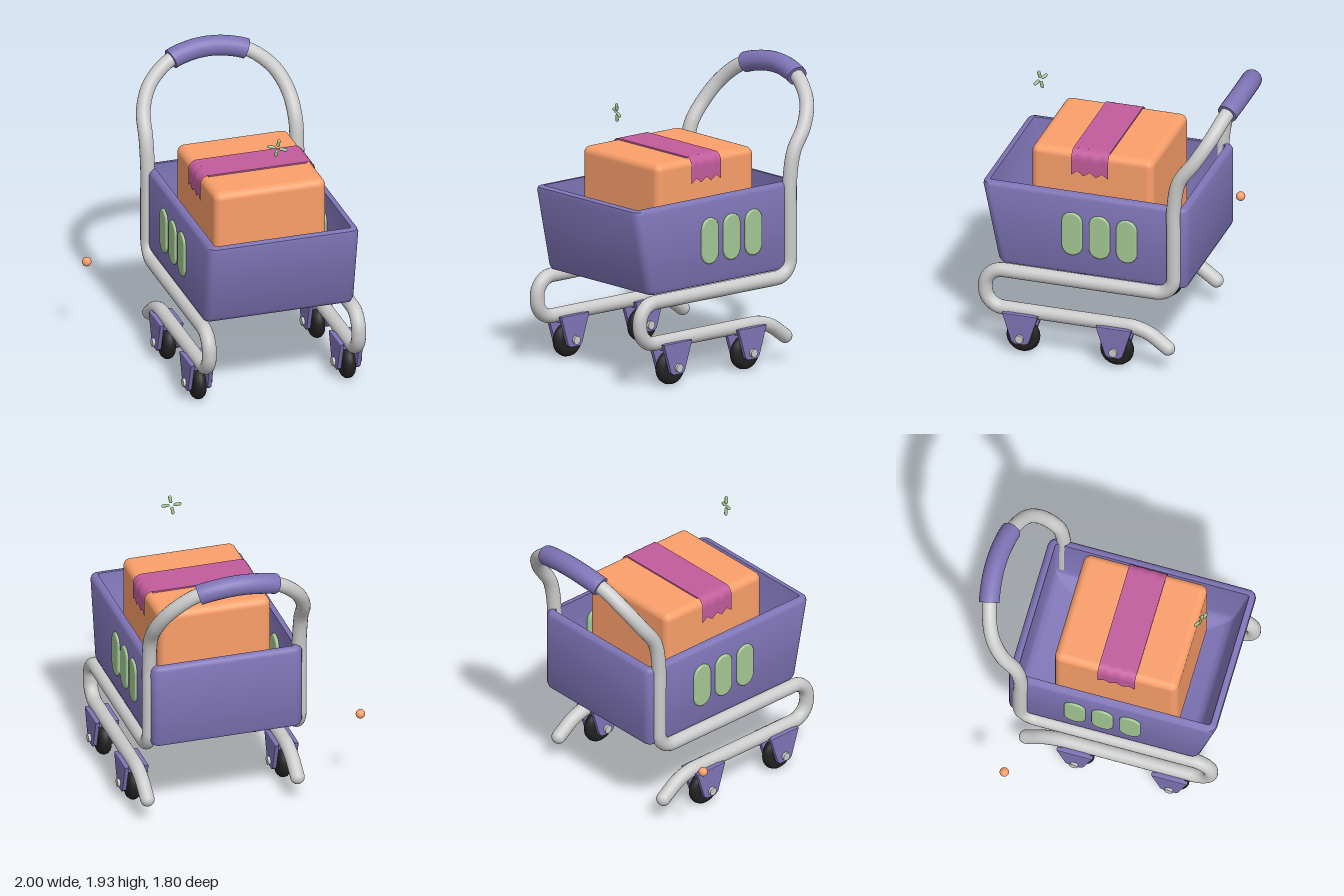
import * as THREE from 'three';
import { toCreasedNormals } from 'three/addons/utils/BufferGeometryUtils.js';
import { RoundedBoxGeometry } from 'three/addons/geometries/RoundedBoxGeometry.js';

const V = (x, y, z) => new THREE.Vector3(x, y, z);
const mat = (color, side = THREE.FrontSide) => new THREE.MeshStandardMaterial({ color, side });
const metal = mat(0xcccccc), purple = mat(0x7e74b6), orange = mat(0xfa9f6a);
const green = mat(0xa4c894), black = mat(0x222222), tapeMat = mat(0xc25c9c, THREE.DoubleSide);
const TUBE = 0.048, RAIL_Z = 0.515;

function add(parent, name, geometry, material, x = 0, y = 0, z = 0) {
  const m = new THREE.Mesh(geometry, material);
  m.name = name;
  m.position.set(x, y, z);
  parent.add(m);
  return m;
}

// Straight runs joined by rounded corners
function roundedPath(points, radii) {
  const path = new THREE.CurvePath();
  let from = points[0];
  for (let i = 1; i < points.length - 1; i++) {
    const p = points[i], r = radii[i - 1];
    const a = p.clone().add(points[i - 1].clone().sub(p).setLength(r));
    const b = p.clone().add(points[i + 1].clone().sub(p).setLength(r));
    path.add(new THREE.LineCurve3(from, a));
    // cubic with circular-arc handles
    path.add(new THREE.CubicBezierCurve3(a, a.clone().lerp(p, 0.55), b.clone().lerp(p, 0.55), b));
    from = b;
  }
  path.add(new THREE.LineCurve3(from, points[points.length - 1]));
  return path;
}

// Open tray lofted from rounded rectangles: vertical back, sloping front
function basketGeometry() {
  const back = -0.62, w = 0.52, n = 6;
  const front = y => 0.68 + (y - 0.612) * 0.205;
  // height, inset, and 0 where the ring closes to its centre
  const profile = [[0.612, 0.04, 0], [0.612, 0.04], [0.622, 0.012], [0.65, 0], [1.17, 0], [1.191, 0.009],
    [1.2, 0.03], [1.2, 0.05], [0.74, 0.05], [0.7, 0.065], [0.68, 0.1], [0.68, 0.1, 0]];
  const pos = [], idx = [], count = 4 * (n + 1);
  for (const [y, inset, k = 1] of profile) {
    const r = Math.max(0.06 - inset, 0.015);
    const x0 = back + inset, x1 = front(y) - inset, cx = (x0 + x1) / 2;
    const hx = (x1 - x0) / 2 - r, hz = w - inset - r;
    for (let c = 0; c < 4; c++) for (let i = 0; i <= n; i++) {
      const t = (c + i / n) * Math.PI / 2;
      const sx = c === 0 || c === 3 ? 1 : -1, sz = c < 2 ? 1 : -1;
      pos.push(cx + k * (sx * hx + r * Math.cos(t)), y, k * (sz * hz + r * Math.sin(t)));
    }
  }
  for (let i = 0; i < profile.length - 1; i++) for (let j = 0; j < count; j++) {
    const a = i * count + j, b = i * count + (j + 1) % count;
    idx.push(a, a + count, b, b, a + count, b + count);
  }
  const g = new THREE.BufferGeometry();
  g.setAttribute('position', new THREE.Float32BufferAttribute(pos, 3));
  g.setIndex(idx);
  return toCreasedNormals(g, 0.8);
}

// Strip bent over the parcel, with zigzag ends
function tapeGeometry(width, top, half, r) {
  const cols = 6, g = new THREE.PlaneGeometry(width, 2, cols, 96), p = g.attributes.position;
  const flat = half - r, arc = r * Math.PI / 2;
  for (let i = 0; i < p.count; i++) {
    const t = p.getY(i), hang = (i % (cols + 1)) % 2 ? 0.085 : 0.117;
    const s = Math.abs(t) * (flat + arc + hang), a = Math.min(Math.max((s - flat) / r, 0), Math.PI / 2);
    const z = Math.min(s, flat) + r * Math.sin(a);
    const y = top - r * (1 - Math.cos(a)) - Math.max(s - flat - arc, 0);
    p.setXYZ(i, p.getX(i), y, -Math.sign(t) * z);
  }
  g.computeVertexNormals();
  return g;
}

// Upright capsule plate, centred in depth
function slotGeometry(r, halfHeight, depth) {
  const h = halfHeight - r, b = 0.012, s = new THREE.Shape();
  s.absarc(0, h, r - b, 0, Math.PI);
  s.absarc(0, -h, r - b, Math.PI, Math.PI * 2);
  s.closePath();
  const g = new THREE.ExtrudeGeometry(s, { depth: depth - 2 * b, bevelSize: b, bevelThickness: b, bevelSegments: 3, curveSegments: 14 });
  return g.translate(0, 0, -depth / 2 + b);
}

// Tapered caster cheek plate
function cheekGeometry() {
  const s = new THREE.Shape([[-0.115, 0.288], [-0.055, 0.1], [-0.035, 0.085], [0.035, 0.085], [0.055, 0.1], [0.115, 0.288]]
    .map(([x, y]) => new THREE.Vector2(x, y)));
  const g = new THREE.ExtrudeGeometry(s, { depth: 0.016, bevelSize: 0.007, bevelThickness: 0.007, bevelSegments: 2 });
  return g.translate(0, 0, -0.008);
}

function makeCaster() {
  const c = new THREE.Group();
  c.name = 'caster';
  const profile = [[0, -0.04], [0.07, -0.042], [0.095, -0.036], [0.11, -0.02], [0.115, 0], [0.11, 0.02], [0.095, 0.036], [0.07, 0.042], [0, 0.04]]
    .map(([r, y]) => new THREE.Vector2(r, y));
  add(c, 'wheel', new THREE.LatheGeometry(profile, 32).rotateX(Math.PI / 2), black, 0, 0.115, 0);
  add(c, 'casterCrown', new RoundedBoxGeometry(0.2, 0.05, 0.13, 2, 0.01), purple, 0, 0.268, 0);
  for (const s of [-1, 1]) {
    add(c, 'casterCheek', cheekGeometry(), purple, 0, 0, s * 0.067);
    add(c, 'axleBolt', new THREE.CylinderGeometry(0.028, 0.028, 0.03, 20).rotateX(Math.PI / 2), metal, 0, 0.125, s * 0.085);
  }
  return c;
}

export function createModel() {
  const model = new THREE.Group();
  model.name = 'shoppingCart';
  const cart = new THREE.Group();
  cart.name = 'cart';
  cart.rotation.y = -40.2 * Math.PI / 180;
  cart.position.set(0.033, 0, -0.036);
  model.add(cart);

  add(cart, 'basket', basketGeometry(), purple);

  // Side rails, casters and slots, mirrored
  for (const s of [-1, 1]) {
    const z = s * RAIL_Z;
    const rail = roundedPath([V(-0.49, 0.17, z), V(-0.32, 0.295, z), V(0.767, 0.295, z), V(0.767, 0.57, z), V(-0.53, 0.57, z), V(-0.53, 1, z)],
      [0.1, 0.125, 0.125, 0.12]);
    add(cart, 'sideRail', new THREE.TubeGeometry(rail, 220, TUBE, 18), metal);
    add(cart, 'railEnd', new THREE.SphereGeometry(TUBE, 18, 12), metal, -0.49, 0.17, z);
    for (const x of [-0.14, 0.505]) {
      const c = makeCaster();
      c.position.set(x, 0, z);
      cart.add(c);
    }
    for (const i of [-1, 0, 1])
      add(cart, 'sideSlot', slotGeometry(0.072, 0.155, 0.085), green, 0.005 + s * 0.025 + i * 0.188, 0.914, s * 0.493);
  }

  // Arched handle
  const half = [[-0.53, 1, 0.515], [-0.53, 1.2, 0.515], [-0.565, 1.4, 0.515], [-0.665, 1.55, 0.5],
    [-0.75, 1.69, 0.43], [-0.808, 1.81, 0.285], [-0.835, 1.853, 0.14]];
  const arch = [...half.map(p => V(...p)), V(-0.843, 1.866, 0), ...half.map(([x, y, z]) => V(x, y, -z)).reverse()];
  const handle = new THREE.CatmullRomCurve3(arch);
  add(cart, 'handle', new THREE.TubeGeometry(handle, 140, TUBE, 18), metal);

  // Grip sleeve with closed ends
  const grip = new THREE.CatmullRomCurve3(handle.getSpacedPoints(160).filter(p => Math.abs(p.z) < 0.272));
  add(cart, 'grip', new THREE.TubeGeometry(grip, 40, 0.068, 24), purple);
  for (const t of [0, 1]) {
    const end = add(cart, 'gripEnd', new THREE.CircleGeometry(0.068, 24), purple);
    end.position.copy(grip.getPoint(t));
    end.quaternion.setFromUnitVectors(V(0, 0, 1), grip.getTangent(t).multiplyScalar(t ? 1 : -1));
  }

  // Parcel and tape
  add(cart, 'parcel', new RoundedBoxGeometry(0.84, 0.775, 0.77, 5, 0.05), orange, 0.078, 1.0575, 0);
  add(cart, 'parcelTape', tapeGeometry(0.255, 1.456, 0.395, 0.06), tapeMat, 0.088, 0, 0);
  add(cart, 'parcelTapeCore', new THREE.BoxGeometry(0.255, 0.014, 0.68), tapeMat, 0.088, 1.448, 0);

  // Floating ball and sparkle
  add(model, 'ball', new THREE.SphereGeometry(0.031, 24, 16), orange, -0.969, 0.587, 0.345);
  const sparkle = new THREE.Group();
  sparkle.name = 'sparkle';
  sparkle.position.set(0.467, 1.748, 0.295);
  sparkle.rotation.set(0, 0.47, -0.22, 'ZYX');
  model.add(sparkle);
  for (let i = 0; i < 4; i++) {
    const a = i * Math.PI / 2;
    const ray = add(sparkle, 'sparkleRay', new THREE.CapsuleGeometry(0.011, 0.032, 4, 10), green, -Math.sin(a) * 0.04, Math.cos(a) * 0.04, 0);
    ray.rotation.z = a;
  }
  return model;
}
